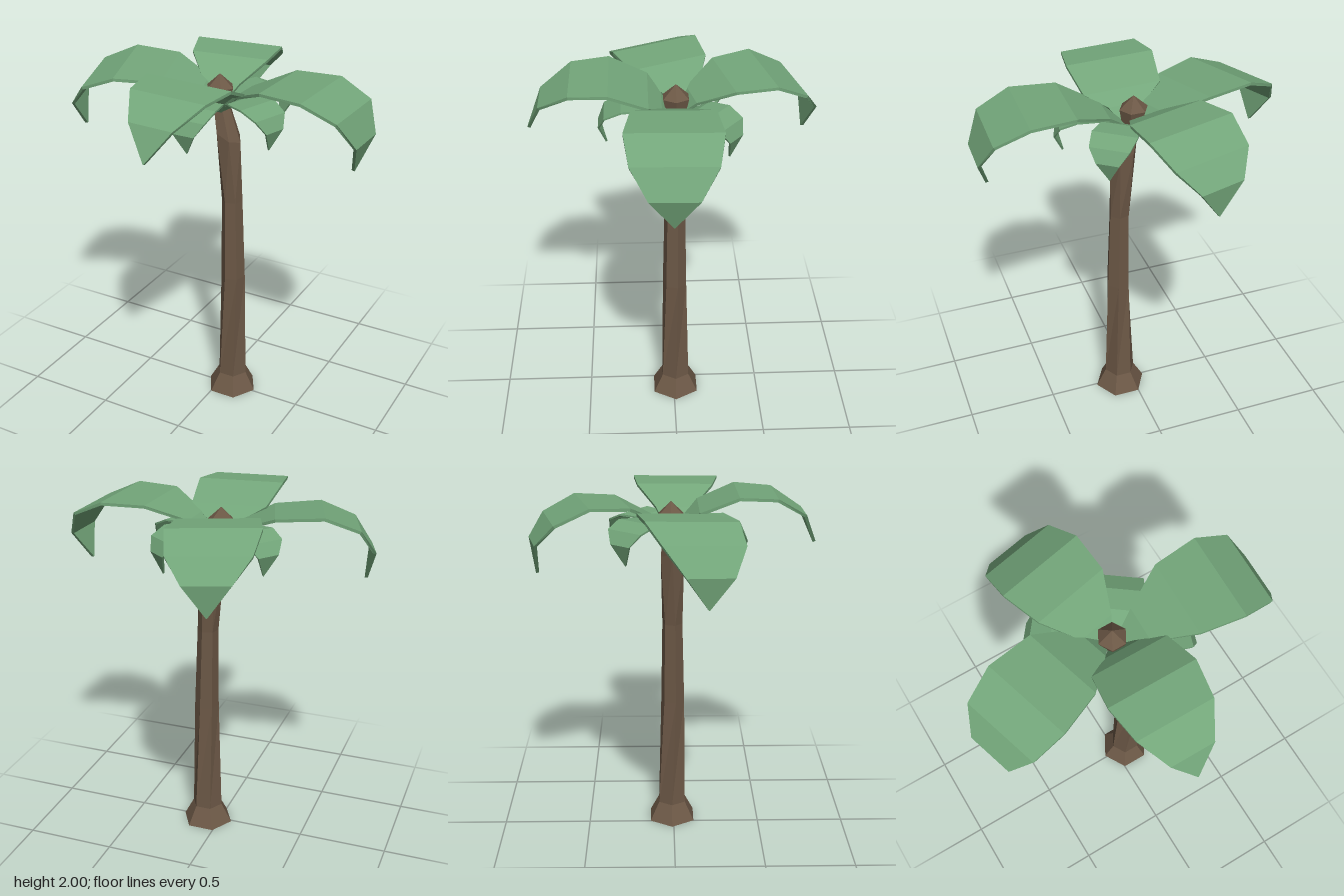
import * as THREE from 'three';

const bark = new THREE.MeshStandardMaterial({ color: 0x6c5846, flatShading: true });
bark.name = 'bark brown';
const green = new THREE.MeshStandardMaterial({ color: 0x73a67a, flatShading: true });
green.name = 'leaf green';

// Skins a list of equal-length rings into a closed faceted solid.
function loft(rings) {
  const pos = [];
  const tri = (a, b, c) => pos.push(...a.toArray(), ...b.toArray(), ...c.toArray());
  const n = rings[0].length;
  for (let k = 0; k < rings.length - 1; k++) {
    const lo = rings[k], hi = rings[k + 1];
    for (let i = 0; i < n; i++) {
      const j = (i + 1) % n;
      tri(lo[i], lo[j], hi[j]);
      tri(lo[i], hi[j], hi[i]);
    }
  }
  const first = rings[0], last = rings[rings.length - 1];
  for (let i = 1; i < n - 1; i++) {
    tri(first[0], first[i + 1], first[i]);
    tri(last[0], last[i], last[i + 1]);
  }
  const geo = new THREE.BufferGeometry();
  geo.setAttribute('position', new THREE.Float32BufferAttribute(pos, 3));
  geo.computeVertexNormals();
  return geo;
}

// Six-sided ring; slope tips it along x, turn twists it.
function hexRing(x, y, z, r, turn = 0, slope = 0) {
  return Array.from({ length: 6 }, (_, i) => {
    const a = (i * Math.PI) / 3 + turn;
    const dx = r * Math.cos(a);
    return new THREE.Vector3(x + dx, y + dx * slope, z - r * Math.sin(a));
  });
}

// Arched leaf: path holds [reach, height] points, widths are half widths.
function leafGeometry({ x = 0, z = 0, azimuth, path, widths, roll = 0, thick }) {
  const az = THREE.MathUtils.degToRad(azimuth);
  const dir = new THREE.Vector3(Math.cos(az), 0, Math.sin(az));
  const up = new THREE.Vector3(0, 1, 0);
  const side = dir.clone().cross(up);
  const points = path.map(([r, y]) => new THREE.Vector3(x, y, z).addScaledVector(dir, r));
  const rings = points.map((p, i) => {
    const before = points[Math.max(i - 1, 0)];
    const after = points[Math.min(i + 1, points.length - 1)];
    const normal = side.clone().cross(after.clone().sub(before).normalize());
    const corner = (s, down) => p.clone()
      .addScaledVector(side, s * widths[i])
      .addScaledVector(up, s * widths[i] * roll)
      .addScaledVector(normal, -down * thick);
    return [corner(-1, 0), corner(1, 0), corner(1, 1), corner(-1, 1)];
  });
  return loft(rings);
}

export function createModel() {
  const model = new THREE.Group();
  model.name = 'palmTree';
  const add = (name, geo, mat) => {
    const mesh = new THREE.Mesh(geo, mat);
    mesh.name = name;
    model.add(mesh);
  };

  // Flared, slightly twisted trunk that leans left near the top
  add('trunk', loft([
    hexRing(0.075, 0, -0.01, 0.147),
    hexRing(0.077, 0.11, -0.01, 0.088),
    hexRing(0.08, 0.76, -0.005, 0.068, 0.26),
    hexRing(0.07, 1.23, -0.007, 0.058, 0.26),
    hexRing(0.045, 1.61, -0.007, 0.073, 0, -0.5),
    hexRing(0.0, 1.77, -0.015, 0.05, 0, -0.2),
  ]), bark);

  // Pointed bud in the middle of the crown
  add('crownBud', loft([
    hexRing(0, 1.75, -0.015, 0.048),
    hexRing(-0.01, 1.865, -0.015, 0.077),
    hexRing(-0.01, 1.935, -0.015, 0.001),
  ]), bark);

  // Four large leaves
  const bigWidths = [0.04, 0.1, 0.21, 0.24, 0.21, 0.122, 0.002];
  const bigLeaves = {
    frontLeaf: { azimuth: 90, roll: 0.03,
      path: [[0, 1.77], [0.06, 1.85], [0.13, 1.91], [0.33, 1.993], [0.53, 1.98], [0.69, 1.88], [0.76, 1.715]] },
    leftLeaf: { azimuth: 1.5, z: 0.002,
      path: [[0.03, 1.78], [0.14, 1.87], [0.34, 1.956], [0.58, 1.956], [0.76, 1.875], [0.832, 1.73], [0.78, 1.56]] },
    rightLeaf: { azimuth: 163, z: -0.08, roll: 0.08,
      path: [[0.03, 1.78], [0.12, 1.86], [0.309, 1.935], [0.556, 1.95], [0.74, 1.878], [0.83, 1.745], [0.805, 1.58]] },
    backLeaf: { azimuth: 257, x: -0.025, roll: -0.04,
      path: [[0.03, 1.78], [0.1, 1.86], [0.275, 1.952], [0.49, 1.967], [0.667, 1.885], [0.757, 1.77], [0.74, 1.6]] },
  };
  for (const [name, spec] of Object.entries(bigLeaves)) {
    add(name, leafGeometry({ widths: bigWidths, thick: 0.016, ...spec }), green);
  }

  // Four small leaves hanging below them
  const smallPath = [[0.02, 1.74], [0.07, 1.8], [0.16, 1.842], [0.27, 1.842], [0.36, 1.8], [0.392, 1.73], [0.355, 1.62]];
  const smallWidths = bigWidths.map((w) => w * 0.5);
  const smallLeaves = [
    ['smallFrontLeaf', 90, 1, 0],
    ['smallLeftLeaf', 18, 1.02, 0],
    ['smallBackLeftLeaf', -53, 1, 0.01],
    ['smallBackRightLeaf', 218, 1.15, 0.05],
  ];
  for (const [name, azimuth, reach, lift] of smallLeaves) {
    const path = smallPath.map(([r, y]) => [r * reach, y + (lift * r) / 0.36]);
    add(name, leafGeometry({ azimuth, path, widths: smallWidths, thick: 0.01 }), green);
  }
  return model;
}
